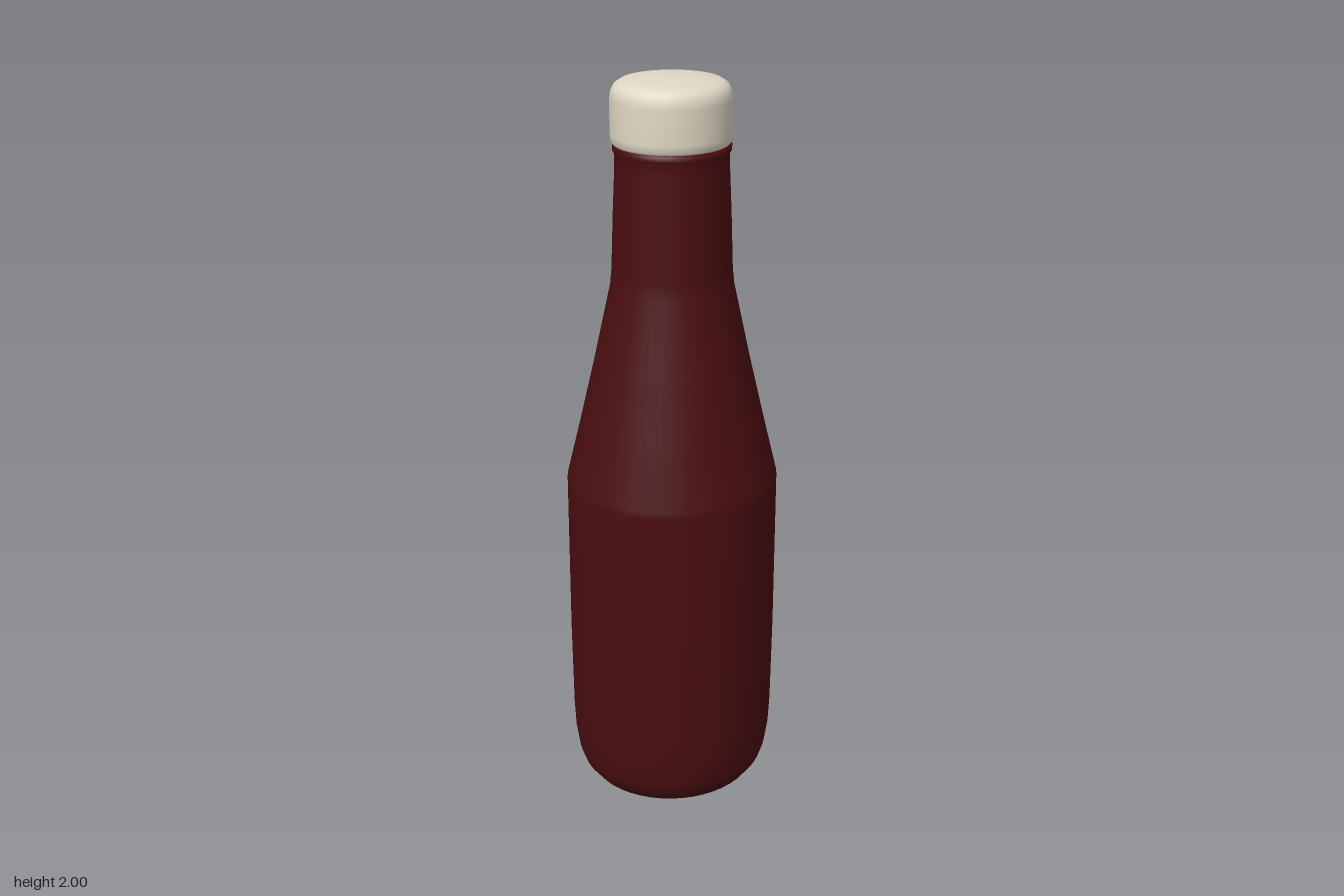
import * as THREE from 'three';

const glassRed = new THREE.MeshStandardMaterial({ color: 0x4a0e10 });
const capCream = new THREE.MeshStandardMaterial({ color: 0xe0d8c5 });
glassRed.name = 'darkRedGlass';
capCream.name = 'creamCap';

// Turned part from a [radius, height] profile, bottom to top
function turned(name, profile, material, depth) {
  const points = profile.map(([r, y]) => new THREE.Vector2(r, y));
  const mesh = new THREE.Mesh(new THREE.LatheGeometry(points, 48), material);
  mesh.name = name;
  mesh.scale.z = depth;
  return mesh;
}

export function createModel() {
  const group = new THREE.Group();
  group.name = 'bottle';

  // Body: rounded base, straight sides, sloping shoulder, slim neck and lip
  group.add(turned('bottleBody', [
    [0, 0], [0.08, 0.005], [0.15, 0.015], [0.205, 0.03], [0.235, 0.045],
    [0.258, 0.075], [0.27, 0.11], [0.279, 0.17], [0.283, 0.25],
    [0.286, 0.5], [0.286, 0.93], [0.284, 0.945], [0.246, 1.1], [0.206, 1.27],
    [0.162, 1.47], [0.158, 1.51], [0.153, 1.65], [0.147, 1.78],
    [0.147, 1.81], [0.152, 1.82], [0.152, 1.832], [0.14, 1.84], [0, 1.84],
  ], glassRed, 0.968));

  // Cap: short cylinder with a softly rounded, slightly domed top
  const cap = turned('cap', [
    [0, 1.834], [0.146, 1.834], [0.154, 1.842], [0.155, 1.86], [0.155, 1.945],
    [0.152, 1.965], [0.144, 1.98], [0.128, 1.99], [0.08, 1.997], [0, 2],
  ], capCream, 0.98);
  cap.position.z = -0.003;
  group.add(cap);

  return group;
}
